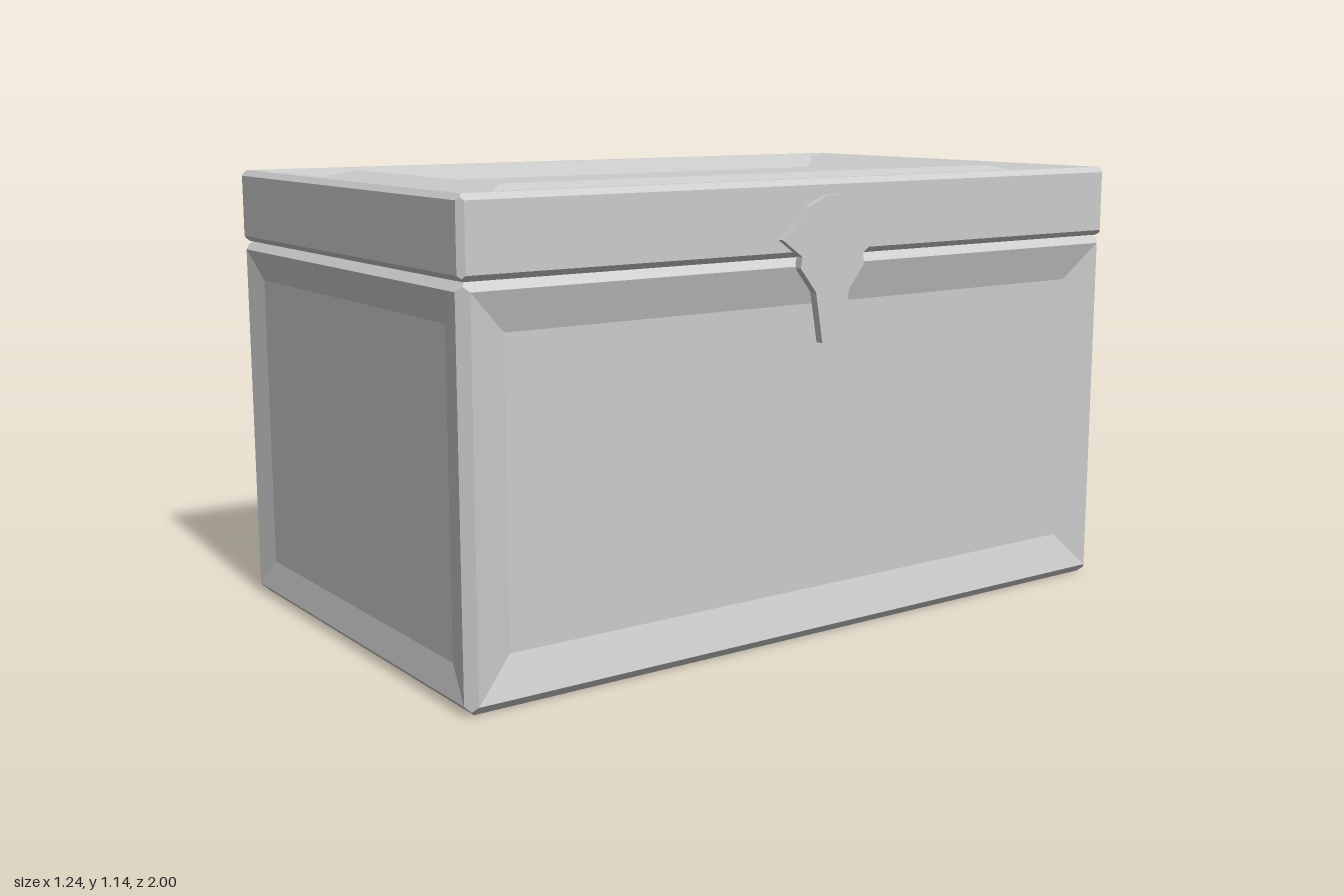
import * as THREE from 'three';

const material = new THREE.MeshStandardMaterial({ color: 0xcccccc, flatShading: true, side: THREE.DoubleSide });

function addMesh(parent, name, geometry) {
  const mesh = new THREE.Mesh(geometry, material);
  mesh.name = name;
  parent.add(mesh);
  return mesh;
}

// Concentric rectangles facing +z; each step is [inset from edge, height]
function panelGeometry(halfW, halfH, steps) {
  const pos = [];
  const rings = steps.map(([inset, h]) => {
    const w = halfW - inset, v = halfH - inset;
    return [[-w, -v, h], [w, -v, h], [w, v, h], [-w, v, h]];
  });
  const quad = (a, b, c, d) => pos.push(...a, ...b, ...c, ...a, ...c, ...d);
  for (let r = 0; r < rings.length - 1; r++) {
    for (let i = 0; i < 4; i++) {
      const j = (i + 1) % 4;
      quad(rings[r][i], rings[r][j], rings[r + 1][j], rings[r + 1][i]);
    }
  }
  quad(...rings[rings.length - 1]);
  const g = new THREE.BufferGeometry();
  g.setAttribute('position', new THREE.Float32BufferAttribute(pos, 3));
  g.computeVertexNormals();
  return g;
}

// Chamfered box from six panels; neighbours meet along the middle of each chamfer
function panelBox(name, [sx, sy, sz], chamfer, profiles) {
  const group = new THREE.Group();
  group.name = name;
  const x = sx / 2, y = sy / 2, z = sz / 2, q = Math.PI / 2;
  const faces = {
    front: [x, y, z, 0, 0],
    back: [x, y, z, 0, Math.PI],
    left: [z, y, x, 0, q],
    right: [z, y, x, 0, -q],
    top: [x, z, y, -q, 0],
    bottom: [x, z, y, q, 0],
  };
  for (const [face, [w, h, out, rx, ry]] of Object.entries(faces)) {
    const steps = [[chamfer / 2, -chamfer / 2], [chamfer, 0], ...(profiles[face] || [])];
    const g = panelGeometry(w, h, steps);
    g.translate(0, 0, out).rotateX(rx).rotateY(ry);
    addMesh(group, face + 'Panel', g);
  }
  return group;
}

export function createModel() {
  const chest = new THREE.Group();
  chest.name = 'chest';
  const depth = 1.985, midZ = 0.0075;

  // Body: sunken front and sides, slightly raised back
  const body = panelBox('body', [1.2, 0.957, depth], 0.024, {
    front: [[0.1, -0.015]],
    back: [[0.1, 0.015]],
    left: [[0.12, -0.03]],
    right: [[0.12, -0.03]],
  });
  body.position.set(0, 0.4785, midZ);
  chest.add(body);

  // Lid: rim, groove, ridge and sunken centre
  const lid = panelBox('lid', [1.2, 0.185, depth], 0.014, {
    top: [[0.037, 0], [0.13, -0.025], [0.226, 0.003], [0.325, -0.025]],
  });
  lid.position.set(0, 1.0465, midZ);
  chest.add(lid);

  // Hinge barrels along the right edge
  for (const z of [-0.54, 0.55]) {
    const hinge = addMesh(chest, 'hinge', new THREE.CylinderGeometry(0.021, 0.021, 0.2, 6));
    hinge.rotation.x = Math.PI / 2;
    hinge.rotation.y = Math.PI / 6 + 0.2;
    hinge.position.set(-0.6, 0.955, z);
  }

  // Clasp plate, mirrored from half an outline
  const half = [[0.02, 1.1], [0.075, 1.075], [0.115, 1.035], [0.155, 1.0], [0.095, 0.957],
    [0.1, 0.93], [0.052, 0.87], [0.03, 0.745]];
  const outline = [...half, ...half.map(([z, y]) => [-z, y]).reverse()];
  const plate = new THREE.Shape(outline.map(([z, y]) => new THREE.Vector2(z, y)));
  const claspGeometry = new THREE.ExtrudeGeometry(plate, { depth: 0.022, bevelEnabled: false });
  claspGeometry.rotateY(Math.PI / 2).translate(0.596, 0, 0);
  addMesh(chest, 'clasp', claspGeometry);

  return chest;
}
